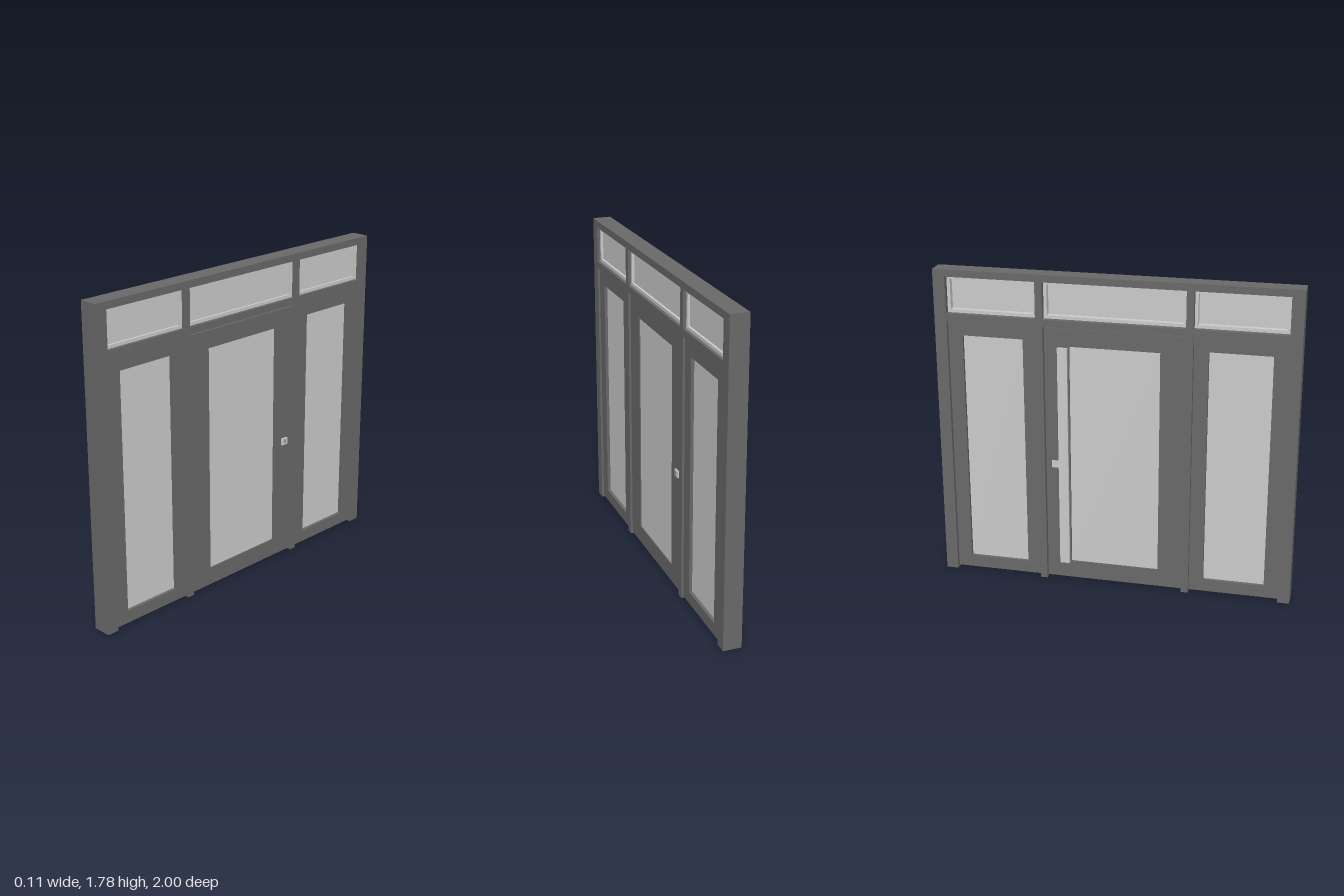
import * as THREE from 'three';

const dark = new THREE.MeshStandardMaterial({ color: 0x696969 });
const light = new THREE.MeshStandardMaterial({ color: 0xcccccc });

export function createModel() {
  const model = new THREE.Group();

  const add = (parent, name, geometry, material) => {
    const mesh = new THREE.Mesh(geometry, material);
    mesh.name = name;
    parent.add(mesh);
    return mesh;
  };

  // Box given by its limits along each axis
  const box = (parent, name, [x0, x1], [y0, y1], [z0, z1], material) =>
    add(parent, name, new THREE.BoxGeometry(x1 - x0, y1 - y0, z1 - z0), material)
      .position.set((x0 + x1) / 2, (y0 + y1) / 2, (z0 + z1) / 2);

  const rect = (target, a0, a1, b0, b1) => {
    target.moveTo(a0, b0);
    target.lineTo(a1, b0);
    target.lineTo(a1, b1);
    target.lineTo(a0, b1);
    target.closePath();
    return target;
  };

  // Shape drawn in the z-y plane, given thickness along x
  const slab = (shape, x0, x1) => new THREE.ExtrudeGeometry(shape, { depth: x1 - x0, bevelEnabled: false })
    .rotateY(Math.PI / 2).translate(x0, 0, 0);

  // Rectangular ring centred on z = zc
  const ring = (parent, name, [x0, x1], zc, halfOut, halfIn, [y0, y1], [h0, h1], material) => {
    const shape = rect(new THREE.Shape(), -halfOut, halfOut, y0, y1);
    shape.holes.push(rect(new THREE.Path(), -halfIn, halfIn, h0, h1));
    add(parent, name, slab(shape, x0, x1), material).position.z = zc;
  };

  // Outer frame: comb-shaped outline with three doorways, plus transom openings
  const outline = new THREE.Shape();
  outline.moveTo(-1, 0);
  for (const [z0, z1] of [[-0.932, -0.43], [-0.39, 0.39], [0.43, 0.932]]) {
    outline.lineTo(z0, 0);
    outline.lineTo(z0, 1.5);
    outline.lineTo(z1, 1.5);
    outline.lineTo(z1, 0);
    outline.holes.push(rect(new THREE.Path(), z0, z1, 1.54, 1.745));
  }
  outline.lineTo(1, 0);
  outline.lineTo(1, 1.785);
  outline.lineTo(-1, 1.785);
  outline.closePath();
  add(model, 'outerFrame', slab(outline, -0.052, 0.052), dark);

  // Transom windows: pale beads around a thin pane
  for (const [zc, half] of [[-0.681, 0.251], [0, 0.39], [0.681, 0.251]]) {
    const transom = new THREE.Group();
    transom.name = 'transomWindow';
    ring(transom, 'transomBead', [-0.02, 0.035], zc, half, half - 0.018, [1.54, 1.745], [1.558, 1.727], light);
    box(transom, 'transomPane', [0.012, 0.022], [1.55, 1.735], [zc - half + 0.01, zc + half - 0.01], light);
    model.add(transom);
  }

  // Fixed side lights
  for (const side of [-1, 1]) {
    const sideLight = new THREE.Group();
    sideLight.name = side > 0 ? 'frontSideLight' : 'rearSideLight';
    ring(sideLight, 'sideSash', [-0.027, 0.04], side * 0.681, 0.251, 0.171, [0.01, 1.5], [0.08, 1.415], dark);
    box(sideLight, 'sidePane', [-0.008, 0.022], [0.075, 1.42], [side * 0.681 - 0.175, side * 0.681 + 0.175], light);
    model.add(sideLight);
  }

  // Door leaf with a narrow gap at its head
  const door = new THREE.Group();
  door.name = 'door';
  ring(door, 'doorSash', [-0.027, 0.04], 0, 0.389, 0.25, [0.01, 1.49], [0.112, 1.392], dark);
  box(door, 'doorPane', [-0.02, 0.034], [0.107, 1.397], [-0.255, 0.255], light);

  // Lock plates and key cylinders on both faces
  box(door, 'lockPlate', [0.04, 0.049], [0.685, 0.725], [-0.355, -0.313], light);
  box(door, 'lockPlateInner', [-0.034, -0.027], [0.685, 0.725], [-0.355, -0.313], light);
  box(door, 'keySlot', [0.049, 0.051], [0.695, 0.715], [-0.337, -0.331], dark);

  // Long pull bar on two standoffs
  box(door, 'pullBar', [-0.058, -0.044], [0.11, 1.39], [-0.31, -0.255], light);
  for (const y of [0.17, 1.33]) {
    const standoff = add(door, 'pullStandoff', new THREE.CylinderGeometry(0.014, 0.014, 0.02, 16), light);
    standoff.rotation.z = Math.PI / 2;
    standoff.position.set(-0.036, y, -0.29);
  }
  model.add(door);

  return model;
}
